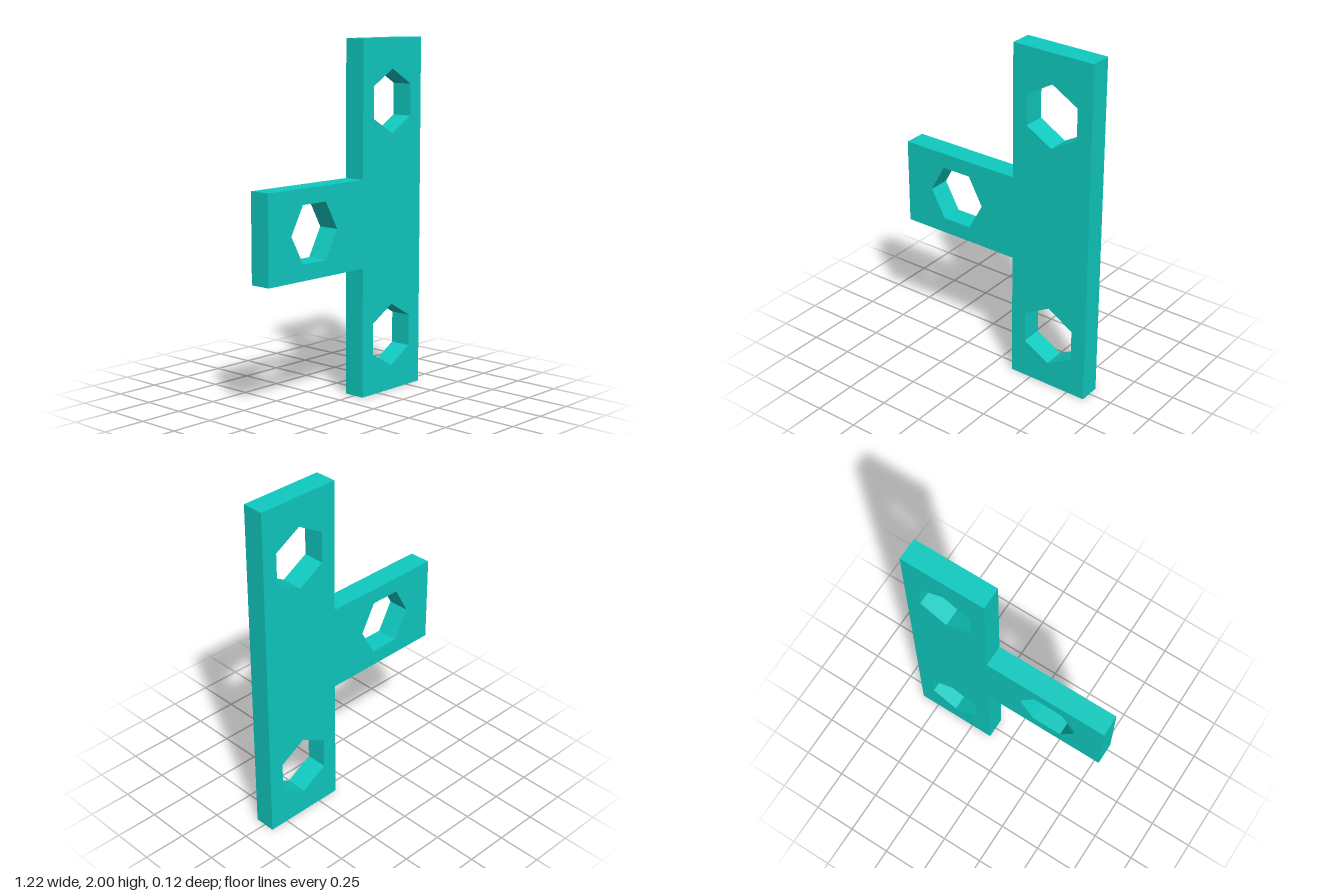
import * as THREE from 'three';

const DEPTH = 0.125;

// Hexagonal hole outline; start is the angle of its first corner
function hexHole(cx, cy, rx, ry, start) {
  const points = [];
  for (let i = 0; i < 6; i++) {
    const a = start - (i * Math.PI) / 3;
    points.push(new THREE.Vector2(cx + rx * Math.cos(a), cy + ry * Math.sin(a)));
  }
  return new THREE.Path(points);
}

export function createModel() {
  const group = new THREE.Group();
  group.name = 'teeBracket';

  const teal = new THREE.MeshStandardMaterial({ color: 0x0fcac0 });
  teal.name = 'teal';

  // T-shaped outline: upright bar with an arm to one side
  const outline = new THREE.Shape([
    [0.12, 0], [0.61, 0], [0.61, 2], [0.12, 2],
    [0.12, 1.232], [-0.61, 1.232], [-0.61, 0.737], [0.12, 0.737],
  ].map(([x, y]) => new THREE.Vector2(x, y)));

  // Bolt holes: pointed up in the bar, pointed sideways in the arm
  outline.holes.push(
    hexHole(0.365, 1.65, 0.18, 0.18, Math.PI / 2),
    hexHole(0.365, 0.32, 0.18, 0.18, Math.PI / 2),
    hexHole(-0.266, 0.986, 0.176, 0.183, 0),
  );

  // Plate centred on z = 0
  const geometry = new THREE.ExtrudeGeometry(outline, { depth: DEPTH, bevelEnabled: false });
  geometry.translate(0, 0, -DEPTH / 2);
  const plate = new THREE.Mesh(geometry, teal);
  plate.name = 'plate';
  group.add(plate);

  return group;
}
